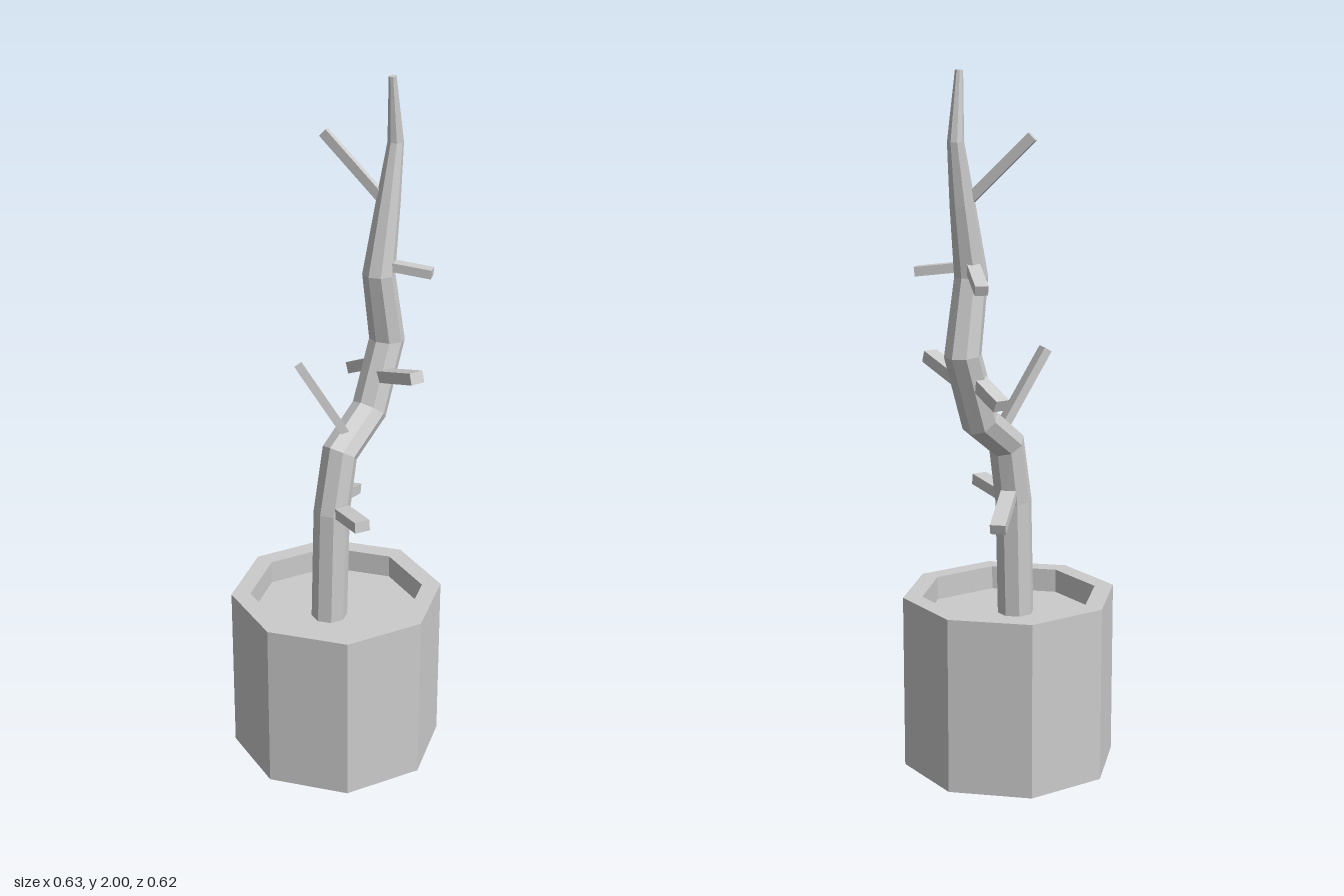
import * as THREE from 'three';

const material = new THREE.MeshStandardMaterial({ color: 0xcccccc, flatShading: true });
const SIDES = 8;

function addMesh(group, name, geometry) {
  const mesh = new THREE.Mesh(geometry, material);
  mesh.name = name;
  group.add(mesh);
  return mesh;
}

// Octagonal rings along a bent path in the xy plane, mitred at every joint
function trunkGeometry(rows) {
  const centers = rows.map(([x, y]) => new THREE.Vector2(x, y));
  const positions = [], indices = [];
  const last = rows.length - 1;
  rows.forEach(([x, y, r], i) => {
    const before = centers[i].clone().sub(centers[Math.max(i - 1, 0)]).normalize();
    const after = centers[Math.min(i + 1, last)].clone().sub(centers[i]).normalize();
    const t = before.add(after).normalize();
    for (let k = 0; k < SIDES; k++) {
      const a = (k / SIDES) * Math.PI * 2;
      positions.push(x + t.y * r * Math.cos(a), y - t.x * r * Math.cos(a), r * Math.sin(a));
    }
  });
  for (let i = 0; i < last; i++) {
    for (let k = 0; k < SIDES; k++) {
      const a = i * SIDES + k, b = i * SIDES + (k + 1) % SIDES;
      indices.push(a, a + SIDES, b, b, a + SIDES, b + SIDES);
    }
  }
  // Flat cap on the tip
  for (let k = 1; k < SIDES - 1; k++) {
    indices.push(last * SIDES, last * SIDES + k + 1, last * SIDES + k);
  }
  const geometry = new THREE.BufferGeometry();
  geometry.setAttribute('position', new THREE.Float32BufferAttribute(positions, 3));
  geometry.setIndex(indices);
  geometry.computeVertexNormals();
  return geometry;
}

export function createModel() {
  const model = new THREE.Group();
  model.name = 'pottedBranch';

  // Octagonal pot with a thick rim
  const profile = [[0, 0], [0.312, 0], [0.312, 0.51], [0.256, 0.51], [0.256, 0.43]];
  addMesh(model, 'pot', new THREE.LatheGeometry(profile.map(([x, y]) => new THREE.Vector2(x, y)), SIDES));

  // Soil surface inside the rim
  const soil = addMesh(model, 'soil', new THREE.CircleGeometry(0.256, SIDES));
  soil.rotation.x = -Math.PI / 2;
  soil.position.y = 0.44;

  // Crooked, tapering trunk: x, y, radius
  addMesh(model, 'trunk', trunkGeometry([
    [-0.034, 0.43, 0.053], [-0.022, 0.78, 0.053], [0.015, 0.955, 0.053],
    [0.15, 1.045, 0.053], [0.23, 1.24, 0.052], [0.188, 1.45, 0.047],
    [0.228, 1.65, 0.035], [0.258, 1.815, 0.023], [0.24, 2.0, 0.011],
  ]));

  // Stubby square twigs: root, tip, width, thickness
  const twigs = [
    [[-0.01, 0.79, 0], [-0.085, 0.81, 0.163], 0.046, 0.032],
    [[-0.01, 0.82, 0], [0.183, 0.75, -0.082], 0.044, 0.03],
    [[0.045, 1.0, 0], [-0.065, 1.225, -0.08], 0.042, 0.024],
    [[0.185, 1.14, 0], [0.118, 1.205, 0.193], 0.043, 0.034],
    [[0.19, 1.18, 0], [0.237, 1.115, -0.13], 0.043, 0.034],
    [[0.19, 1.48, 0], [0.255, 1.463, 0.138], 0.034, 0.026],
    [[0.19, 1.49, 0], [0.3, 1.432, -0.11], 0.036, 0.028],
    [[0.222, 1.645, 0], [0.167, 1.83, -0.183], 0.018, 0.028],
  ];
  const branches = new THREE.Group();
  branches.name = 'branches';
  model.add(branches);
  twigs.forEach(([from, to, width, thickness]) => {
    const root = new THREE.Vector3(...from), tip = new THREE.Vector3(...to);
    const twig = addMesh(branches, 'branch', new THREE.BoxGeometry(width, thickness, root.distanceTo(tip)));
    twig.position.copy(root).lerp(tip, 0.5);
    twig.lookAt(tip);
  });

  return model;
}
